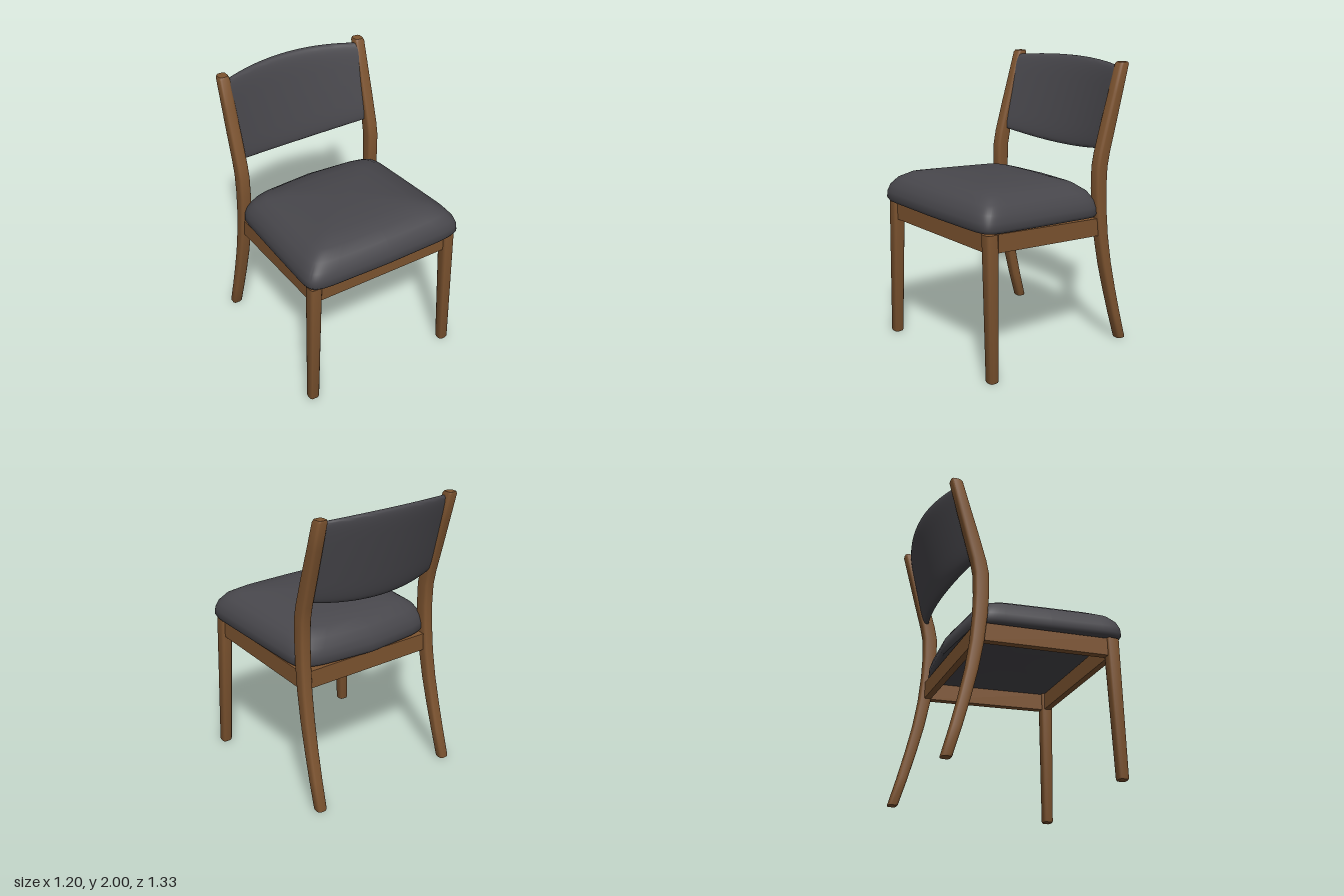
import * as THREE from 'three';
import { toCreasedNormals } from 'three/addons/utils/BufferGeometryUtils.js';

const wood = new THREE.MeshStandardMaterial({ color: 0x7d5430 });
wood.name = 'wood';
const fabric = new THREE.MeshStandardMaterial({ color: 0x48474c });
fabric.name = 'charcoal fabric';

// Signed power, for superellipse outlines
const spow = (v, e) => Math.sign(v) * Math.pow(Math.abs(v), e);

// Skin a list of equal-length rings and close both ends
function loft(rings, crease) {
  const n = rings[0].length;
  const pos = rings.flat(2);
  const index = [];
  for (let i = 0; i < rings.length - 1; i++) {
    for (let j = 0; j < n; j++) {
      const a = i * n + j, b = i * n + (j + 1) % n;
      index.push(a, b, b + n, a, b + n, a + n);
    }
  }
  [0, rings.length - 1].forEach((r) => {
    const c = [0, 1, 2].map((k) => rings[r].reduce((s, p) => s + p[k], 0) / n);
    const ci = pos.length / 3;
    pos.push(...c);
    for (let j = 0; j < n; j++) {
      const a = r * n + j, b = r * n + (j + 1) % n;
      if (r === 0) index.push(ci, b, a);
      else index.push(ci, a, b);
    }
  });
  const g = new THREE.BufferGeometry();
  g.setAttribute('position', new THREE.Float32BufferAttribute(pos, 3));
  g.setIndex(index);
  return toCreasedNormals(g, crease);
}

// Horizontal rounded rectangle
function roundedRing(x, y, z, hw, hd, r) {
  const ring = [];
  [[1, -1], [-1, -1], [-1, 1], [1, 1]].forEach(([sx, sz], q) => {
    for (let k = 0; k < 4; k++) {
      const a = (q + k / 3) * Math.PI / 2;
      ring.push([x + sx * (hw - r) + r * Math.cos(a), y, z + sz * (hd - r) - r * Math.sin(a)]);
    }
  });
  return ring;
}

// Leg from sections of [y, x, z, half width, half depth]
const leg = (sections, side) =>
  loft(sections.map(([y, x, z, hw, hd]) => roundedRing(side * x, y, z, hw, hd, 0.02)), 0.7);

const frontLeg = [
  [0, 0.565, 0.582, 0.034, 0.032], [0.01, 0.565, 0.582, 0.037, 0.035],
  [1.0, 0.534, 0.571, 0.042, 0.045],
];
const backLeg = [
  [0, 0.563, -0.603, 0.034, 0.032], [0.01, 0.563, -0.6, 0.037, 0.034],
  [0.2, 0.558, -0.545, 0.038, 0.036], [0.4, 0.552, -0.492, 0.039, 0.038],
  [0.6, 0.546, -0.445, 0.04, 0.04], [0.8, 0.541, -0.41, 0.04, 0.043],
  [1.0, 0.537, -0.389, 0.04, 0.046], [1.15, 0.535, -0.382, 0.04, 0.048],
  [1.3, 0.535, -0.385, 0.04, 0.05], [1.4, 0.535, -0.405, 0.04, 0.05],
  [1.6, 0.535, -0.462, 0.04, 0.048], [1.8, 0.535, -0.52, 0.039, 0.044],
  [1.985, 0.535, -0.573, 0.038, 0.041], [2.0, 0.535, -0.577, 0.032, 0.035],
];

// Rails drop towards the back with the seat
const drop = (z) => 0.062 * (0.58 - z);
function rail(w, d, x, z) {
  const g = new THREE.BoxGeometry(w, 0.125, d);
  g.translate(x, 0.936, z);
  const p = g.attributes.position;
  for (let i = 0; i < p.count; i++) p.setY(i, p.getY(i) - drop(p.getZ(i)));
  g.computeVertexNormals();
  return g;
}

// Domed cushion from stacked outlines of [inset, height]
function seatGeometry() {
  const levels = [
    [0.05, 0], [0.012, 0.008], [0, 0.03], [0.003, 0.075], [0.02, 0.125], [0.06, 0.178],
    [0.13, 0.222], [0.25, 0.25], [0.4, 0.262], [0.52, 0.266],
  ];
  const n = 72;
  return loft(levels.map(([inset, h]) => {
    const ring = [];
    const e = 0.15 + inset * 0.35;
    for (let j = 0; j < n; j++) {
      const a = j / n * Math.PI * 2;
      const u = spow(Math.cos(a), e), v = -spow(Math.sin(a), e);
      const x = u * (0.59 - inset) * (1 + 0.03 * v);
      const bow = v < 0 ? 0.06 : -0.012;
      const z = 0.105 + v * (0.565 - inset) + bow * Math.abs(v) * (x / 0.5) ** 2;
      ring.push([x, 1.003 - drop(z) + h, z]);
    }
    return ring;
  }), 0.9);
}

// Padded panel, bowed in plan and leaning back
function backrestGeometry() {
  const rings = [], n = 40, steps = 20;
  for (let i = 0; i <= steps; i++) {
    const u = i / steps * 2 - 1;
    const top = 1.998 - 0.025 * u * u, bottom = 1.373 + 0.045 * u * u;
    const t = 0.036 - 0.008 * u * u;
    const ring = [];
    for (let j = 0; j < n; j++) {
      const a = j / n * Math.PI * 2;
      const y = (top + bottom) / 2 + (top - bottom) / 2 * spow(Math.cos(a), 0.4);
      const z = -0.493 - 0.235 * (y - 1.373) + 0.08 * u * u + t * spow(Math.sin(a), 0.55);
      ring.push([u * 0.505, y, z]);
    }
    rings.push(ring);
  }
  return loft(rings, 0.9);
}

export function createModel() {
  const chair = new THREE.Group();
  chair.name = 'diningChair';
  const add = (name, geometry, material) => {
    const m = new THREE.Mesh(geometry, material);
    m.name = name;
    chair.add(m);
  };

  // Legs and side rails
  [['left', 1], ['right', -1]].forEach(([name, s]) => {
    add(name + 'FrontLeg', leg(frontLeg, s), wood);
    add(name + 'BackLeg', leg(backLeg, s), wood);
    add(name + 'SideRail', rail(0.05, 0.94, s * 0.535, 0.09), wood);
  });

  // Cross rails
  add('frontRail', rail(1.03, 0.05, 0, 0.57), wood);
  add('backRail', rail(1.03, 0.05, 0, -0.395), wood);

  // Upholstery
  add('seatCushion', seatGeometry(), fabric);
  add('backrest', backrestGeometry(), fabric);
  return chair;
}
